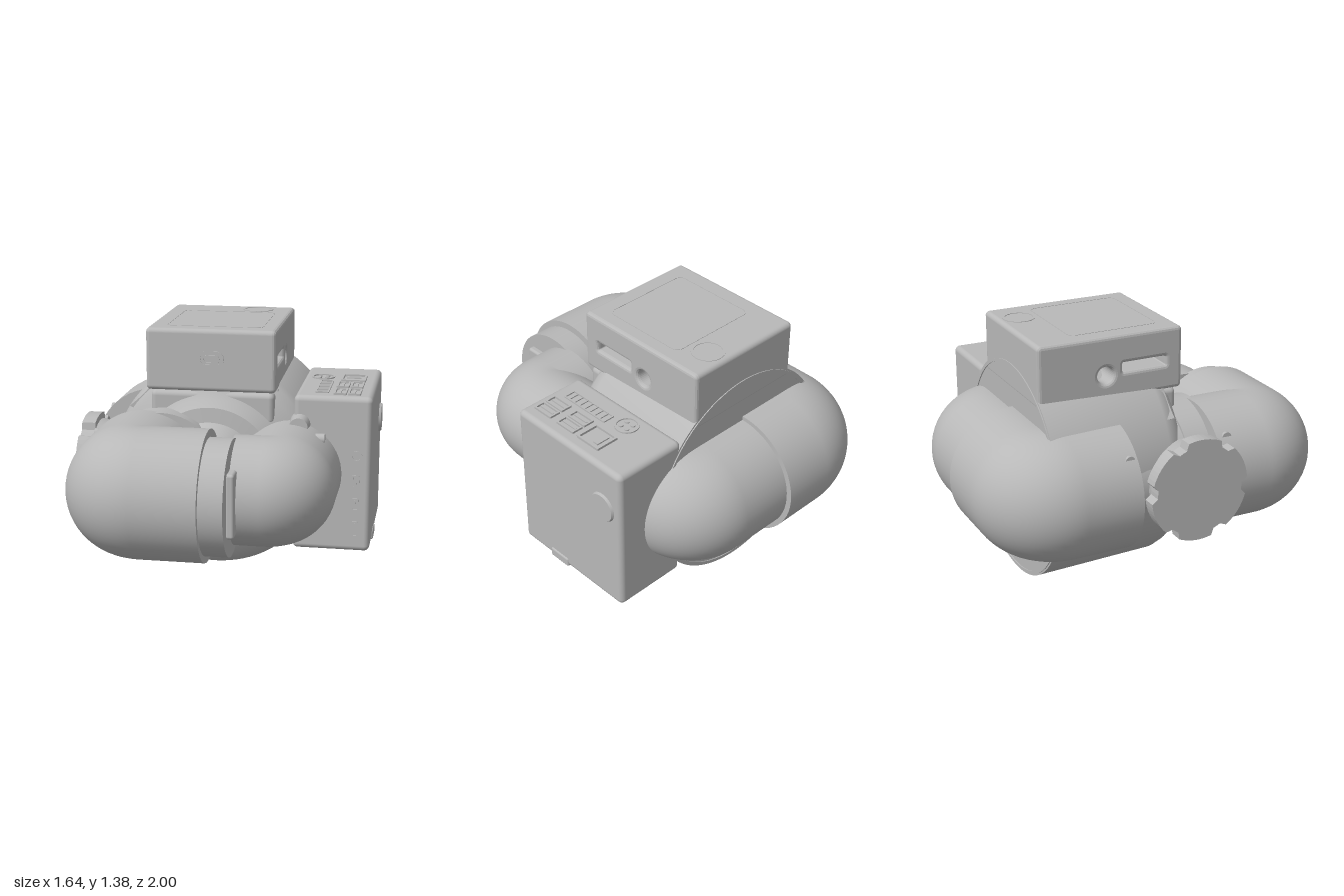
import * as THREE from 'three';
import { RoundedBoxGeometry } from 'three/addons/geometries/RoundedBoxGeometry.js';
import { toCreasedNormals } from 'three/addons/utils/BufferGeometryUtils.js';

const CY = 0.595; // height of the pipe loop

export function createModel() {
  const model = new THREE.Group();
  const grey = new THREE.MeshStandardMaterial({ color: 0xb8b8b8, side: THREE.DoubleSide });
  const add = (name, geo, x = 0, y = 0, z = 0) => {
    const m = new THREE.Mesh(geo, grey);
    m.name = name;
    m.position.set(x, y, z);
    model.add(m);
    return m;
  };
  const box = (name, x0, x1, y0, y1, z0, z1, r = 0) => add(name,
    r ? new RoundedBoxGeometry(x1 - x0, y1 - y0, z1 - z0, 4, r) : new THREE.BoxGeometry(x1 - x0, y1 - y0, z1 - z0),
    (x0 + x1) / 2, (y0 + y1) / 2, (z0 + z1) / 2);
  // cylinder along a chosen axis
  const rod = (name, axis, r0, r1, len, x, y, z, seg = 40) => {
    const g = new THREE.CylinderGeometry(r1, r0, len, seg);
    if (axis === 'x') g.rotateZ(-Math.PI / 2);
    if (axis === 'z') g.rotateX(Math.PI / 2);
    return add(name, g, x, y, z);
  };
  const roundRect = (Type, x, y, w, h, r) => {
    const s = new Type();
    const corners = [[w / 2 - r, h / 2 - r, 0], [r - w / 2, h / 2 - r, 1], [r - w / 2, r - h / 2, 2], [w / 2 - r, r - h / 2, 3]];
    for (const [cx, cy, q] of corners) s.absarc(x + cx, y + cy, r, q * Math.PI / 2, (q + 1) * Math.PI / 2, false);
    s.closePath();
    return s;
  };
  // thin rounded frame lying on a surface facing x, y or z
  const frame = (name, axis, w, h, r, t, x, y, z, depth = 0.008) => {
    const s = roundRect(THREE.Shape, 0, 0, w, h, r);
    s.holes.push(roundRect(THREE.Path, 0, 0, w - 2 * t, h - 2 * t, Math.max(r - t, 0.002)));
    const g = new THREE.ExtrudeGeometry(s, { depth, bevelEnabled: false, curveSegments: 8 });
    if (axis === 'x') g.rotateY(Math.PI / 2);
    if (axis === 'y') g.rotateX(-Math.PI / 2);
    return add(name, g, x, y, z);
  };
  // level pipe elbow with a tight bend, closed by a disc at each end
  const elbow = (name, a, corner, b, bend, r) => {
    const V = ([x, z]) => new THREE.Vector3(x, CY, z);
    const A = V(a), C = V(corner), B = V(b);
    const dirA = A.clone().sub(C).normalize(), dirB = B.clone().sub(C).normalize();
    const center = C.clone().addScaledVector(dirA, bend).addScaledVector(dirB, bend);
    const p = C.clone().addScaledVector(dirA, bend), q = C.clone().addScaledVector(dirB, bend);
    const k = 0.5523 * bend;
    const path = new THREE.CurvePath();
    path.add(new THREE.LineCurve3(A, p));
    path.add(new THREE.CubicBezierCurve3(p, p.clone().addScaledVector(dirA, -k), q.clone().addScaledVector(dirB, -k), q));
    path.add(new THREE.LineCurve3(q, B));
    add(name, new THREE.TubeGeometry(path, 120, r, 56, false));
    for (const [end, dir] of [[A, dirA], [B, dirB]]) {
      const cap = add(name + 'End', new THREE.CircleGeometry(r, 56), end.x, end.y, end.z);
      cap.lookAt(end.clone().add(dir));
    }
    return center;
  };

  // round main housing
  const profile = [[0, -0.63], [0.6, -0.63], [0.582, 0.03], [0.565, 0.08], [0.52, 0.125], [0.45, 0.155],
    [0.4, 0.19], [0.36, 0.23], [0.28, 0.24], [0.22, 0.36], [0.12, 0.385], [0, 0.385]].map(p => new THREE.Vector2(...p));
  add('mainHousing', toCreasedNormals(new THREE.LatheGeometry(profile, 96).rotateX(Math.PI / 2), 0.5), -0.06, 0.6, 0);
  frame('rearRim', 'z', 1.18, 1.18, 0.589, 0.015, -0.06, 0.6, -0.636);

  // neck under the upper case, flaring into the housing
  const neck = new THREE.Shape();
  neck.moveTo(-0.42, 1.045);
  neck.quadraticCurveTo(-0.43, 1.01, -0.54, 0.92);
  neck.lineTo(-0.3, 0.8);
  neck.lineTo(0.4, 0.8);
  neck.lineTo(0.4, 0.925);
  neck.quadraticCurveTo(0.3, 0.94, 0.29, 1.045);
  add('neck', new THREE.ExtrudeGeometry(neck, { depth: 0.72, bevelEnabled: false, curveSegments: 10 }), 0, 0, -0.63);
  box('neckFront', -0.4, 0.28, 0.86, 1.035, -0.1, 0.175, 0.03);

  // upper case with openings running across it
  const side = roundRect(THREE.Shape, 0.218, 1.21, 0.826, 0.34, 0.025);
  side.holes.push(roundRect(THREE.Path, 0.025, 1.2, 0.25, 0.05, 0.006));
  const hole = new THREE.Path();
  hole.absarc(0.248, 1.17, 0.046, 0, Math.PI * 2, true);
  side.holes.push(hole);
  const caseGeo = new THREE.ExtrudeGeometry(side, {
    depth: 0.67, bevelThickness: 0.02, bevelSize: 0.02, bevelOffset: -0.02, bevelSegments: 3, curveSegments: 16 });
  add('upperCase', caseGeo.rotateY(Math.PI / 2), -0.4, 0, 0);
  frame('lidPanel', 'y', 0.53, 0.51, 0.04, 0.005, -0.06, 1.379, -0.155, 0.003);
  frame('lidButtonRim', 'y', 0.175, 0.175, 0.087, 0.012, 0.09, 1.379, -0.515, 0.004);
  frame('frontSocket', 'z', 0.14, 0.085, 0.042, 0.012, -0.06, 1.22, 0.193);
  frame('frontSocketInner', 'z', 0.09, 0.045, 0.022, 0.006, -0.06, 1.22, 0.193);

  // side electronics box
  box('sideBox', 0.385, 0.81, 0.16, 1.028, -0.63, 0.148, 0.03);
  rod('sideButton', 'x', 0.088, 0.078, 0.02, 0.813, 0.77, -0.5);
  box('lowerLatch', 0.74, 0.817, 0.158, 0.215, -0.21, -0.07, 0.012);
  for (let i = 0; i < 8; i++) box('bottomVent', 0.5, 0.62, 0.153, 0.162, -0.42 + i * 0.05, -0.4 + i * 0.05);

  // sockets on top of the side box
  const top = 1.027;
  frame('roundSocket', 'y', 0.13, 0.13, 0.064, 0.01, 0.495, top, -0.345);
  for (const dx of [-0.022, 0.022]) for (const dz of [-0.022, 0.022])
    rod('socketPin', 'y', 0.013, 0.013, 0.008, 0.495 + dx, top + 0.004, -0.345 + dz, 12);
  frame('pinHeader', 'y', 0.075, 0.31, 0.006, 0.008, 0.527, top, -0.09);
  for (let i = 1; i < 8; i++) box('headerRib', 0.495, 0.56, top, top + 0.007, -0.248 + i * 0.039, -0.242 + i * 0.039);
  frame('networkSocket', 'y', 0.14, 0.16, 0.006, 0.012, 0.672, top, -0.315, 0.014);
  box('networkContacts', 0.63, 0.71, top, top + 0.008, -0.36, -0.33);
  for (const z of [-0.14, 0.035]) for (const x of [0.628, 0.705]) {
    frame('dataSocket', 'y', 0.07, 0.13, 0.006, 0.01, x, top, z, 0.012);
    box('dataTongue', x - 0.012, x + 0.004, top, top + 0.008, z - 0.05, z + 0.05);
  }

  // sockets on the front of the side box
  frame('audioSocket', 'z', 0.065, 0.065, 0.032, 0.012, 0.73, 0.7, 0.145);
  for (const [y, h] of [[0.562, 0.07], [0.432, 0.07], [0.29, 0.09]]) {
    frame('frontPort', 'z', 0.04, h, 0.012, 0.007, 0.728, y, 0.145);
    box('frontPortTongue', 0.724, 0.732, y - h / 2 + 0.015, y + h / 2 - 0.015, 0.145, 0.151);
  }

  // pipe loop
  elbow('frontRightElbow', [-0.412, 0.27], [-0.412, 0.65], [0.01, 0.65], 0.075, 0.348);
  elbow('frontLeftElbow', [0.36, 0.05], [0.36, 0.515], [0.12, 0.515], 0.07, 0.29);
  elbow('backRightElbow', [-0.465, -0.23], [-0.465, -0.642], [-0.067, -0.642], 0.1, 0.355);
  elbow('backLeftElbow', [-0.067, -0.635], [0.32, -0.635], [0.32, -0.3], 0.09, 0.332);
  rod('rightLink', 'z', 0.32, 0.32, 0.55, -0.335, CY, 0.02, 56);
  rod('rightCollar', 'z', 0.343, 0.343, 0.17, -0.32, CY, 0.215, 56);

  // joint between the two front elbows
  rod('jointFlange', 'x', 0.308, 0.308, 0.13, 0.072, CY, 0.66, 56);
  box('jointTab', 0.13, 0.175, 0.43, 0.77, 0.74, 0.85, 0.015);

  // mounting lugs and screws
  for (const s of [-1, 1]) {
    rod('mountLug', 'z', 0.06, 0.05, 0.12, 0.42, CY + s * 0.275, 0.165, 24);
    rod('leftScrew', 'x', 0.028, 0.028, 0.05, 0.54, CY + s * 0.222, 0.24, 20);
    rod('rightScrew', 'x', 0.028, 0.028, 0.04, -0.655, CY + s * 0.222, 0.33, 20);
  }
  rod('rearScrew', 'x', 0.028, 0.028, 0.04, -0.715, CY + 0.222, -0.27, 20);

  // notched knob on the right side
  const knob = new THREE.Shape();
  for (let i = 0; i < 72; i++) {
    const a = i / 72 * Math.PI * 2, r = i % 12 < 3 ? 0.25 : 0.283;
    knob[i ? 'lineTo' : 'moveTo'](Math.cos(a) * r, Math.sin(a) * r);
  }
  knob.closePath();
  add('knob', new THREE.ExtrudeGeometry(knob, { depth: 0.075, bevelEnabled: false }).rotateY(Math.PI / 2), -0.773, CY, 0.12);
  rod('knobHub', 'x', 0.25, 0.2, 0.2, -0.6, CY, 0.12);

  return model;
}
